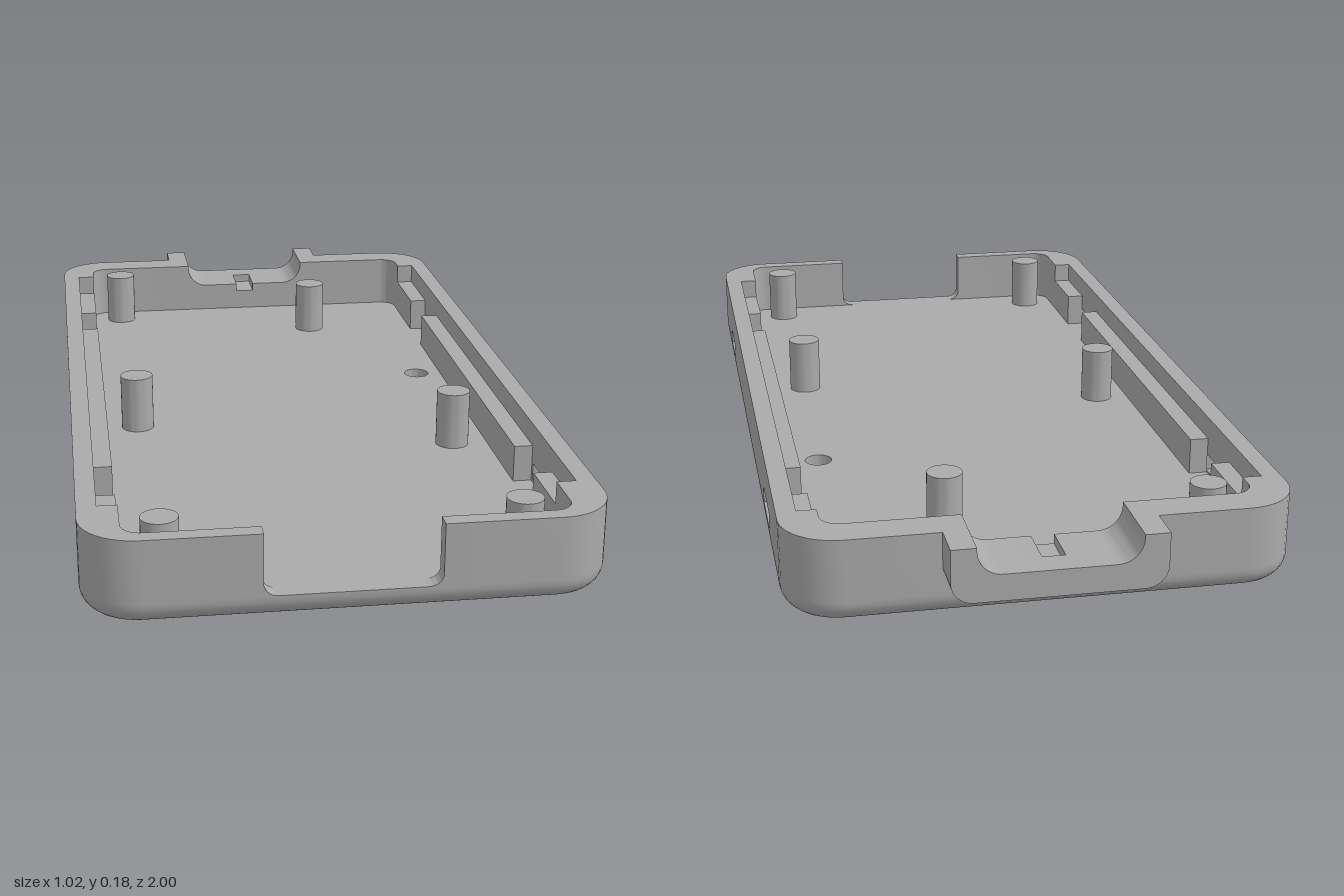
import * as THREE from 'three';
import { toCreasedNormals } from 'three/addons/utils/BufferGeometryUtils.js';

const TOP = 0.177, FLOOR = 0.05, FILLET = 0.045;
const HALF = 0.51, FRONT = 1, BACK = -0.92;

export function createModel() {
  const group = new THREE.Group();
  const grey = new THREE.MeshStandardMaterial({ color: 0xaaaaaa });
  grey.name = 'plain grey';

  const add = (name, geometry) => {
    const mesh = new THREE.Mesh(toCreasedNormals(geometry, 0.6), grey);
    mesh.name = name;
    group.add(mesh);
    return mesh;
  };

  // Outline from right-angled corners [x, y, radius]
  const outline = (corners) => {
    const pts = [];
    corners.forEach(([x, y, r = 0], i) => {
      const p = new THREE.Vector2(x, y);
      if (!r) return pts.push(p);
      const toward = (k) => {
        const c = corners[(i + k + corners.length) % corners.length];
        return new THREE.Vector2(c[0], c[1]).sub(p).normalize();
      };
      const a = toward(-1), b = toward(1);
      for (let k = 0; k <= 10; k++) {
        const t = (k / 10) * Math.PI / 2;
        pts.push(p.clone().addScaledVector(a, r * (1 - Math.sin(t))).addScaledVector(b, r * (1 - Math.cos(t))));
      }
    });
    return pts;
  };

  const extrude = (shape, depth) => new THREE.ExtrudeGeometry(shape, { depth, bevelEnabled: false, curveSegments: 24 });
  // Plan (x, z) raised from y0 to y1
  const plan = (shape, y0, y1) => extrude(shape, y1 - y0).rotateX(Math.PI / 2).translate(0, y1, 0);
  // Elevation (x, y) running from z0 to z1
  const elevation = (shape, z0, z1) => extrude(shape, z1 - z0).translate(0, 0, z0);
  const box = (name, x0, x1, y0, y1, z0, z1) =>
    add(name, new THREE.BoxGeometry(x1 - x0, y1 - y0, z1 - z0)
      .translate((x0 + x1) / 2, (y0 + y1) / 2, (z0 + z1) / 2));

  const bodyOutline = (inset) => {
    const x = HALF - inset, f = FRONT - inset, b = BACK + inset, r = 0.115 - inset;
    return outline([[x, f, r], [-x, f, r], [-x, b, r], [x, b, r]]);
  };

  // Floor plate with a small through hole
  const floorShape = new THREE.Shape(bodyOutline(FILLET));
  floorShape.holes.push(new THREE.Path().absarc(0.37, -0.21, 0.03, 0, Math.PI * 2, true));
  add('floor', plan(floorShape, 0, FLOOR));

  // Rounded lower edge around the floor
  const rings = [];
  for (let k = 0; k <= 8; k++) {
    const t = (k / 8) * Math.PI / 2;
    rings.push([FILLET * (1 - Math.sin(t)), FILLET * (1 - Math.cos(t))]);
  }
  rings.push([0, FLOOR], [FILLET, FLOOR]);
  const pos = [], index = [];
  let n = 0;
  rings.forEach(([inset, y]) => {
    const pts = bodyOutline(inset);
    n = pts.length;
    pts.forEach((p) => pos.push(p.x, y, p.y));
  });
  for (let i = 0; i < rings.length - 1; i++) {
    for (let j = 0; j < n; j++) {
      const a = i * n + j, b = i * n + (j + 1) % n;
      index.push(a, a + n, b, b, a + n, b + n);
    }
  }
  const skin = new THREE.BufferGeometry();
  skin.setAttribute('position', new THREE.Float32BufferAttribute(pos, 3));
  skin.setIndex(index);
  add('roundedBase', skin);

  for (const s of [1, -1]) {
    const side = s > 0 ? 'left' : 'right';

    // Corner walls, ending at the front opening and the rear spout
    add(side + 'FrontCorner', plan(new THREE.Shape(outline([
      [s * 0.17, 1], [s * HALF, 1, 0.115], [s * HALF, 0.83], [s * 0.43, 0.83], [s * 0.43, 0.965, 0.04], [s * 0.17, 0.965],
    ])), FLOOR, TOP));
    add(side + 'BackCorner', plan(new THREE.Shape(outline([
      [s * 0.21, BACK], [s * HALF, BACK, 0.115], [s * HALF, -0.77], [s * 0.43, -0.77], [s * 0.43, -0.845, 0.04], [s * 0.21, -0.845],
    ])), FLOOR, TOP));

    // Thin side wall with two slots, drawn as (-z, y)
    const wall = new THREE.Shape(outline([[-0.83, FLOOR], [0.77, FLOOR], [0.77, TOP], [-0.83, TOP]]));
    for (const [a, b] of [[-0.67, -0.53], [0.435, 0.58]]) {
      wall.holes.push(new THREE.Path(outline([[a, 0.055], [a, 0.092], [b, 0.092], [b, 0.055]])));
    }
    add(side + 'Wall', extrude(wall, 0.04).rotateY(Math.PI / 2).translate(s > 0 ? 0.47 : -HALF, 0, 0));

    // Inner ledge rails between the slots
    for (const [z0, z1] of [[-0.77, -0.58], [-0.44, 0.52], [0.67, 0.83]]) {
      box(side + 'Rail', Math.min(s * 0.43, s * 0.47), Math.max(s * 0.43, s * 0.47), FLOOR, 0.13, z0, z1);
    }

    // Rounded lower corner of the front opening
    const fillet = new THREE.Shape();
    fillet.moveTo(s * 0.172, FLOOR);
    fillet.lineTo(s * 0.172, FLOOR + 0.032);
    fillet.quadraticCurveTo(s * 0.17, FLOOR, s * 0.14, FLOOR);
    add(side + 'OpeningFillet', elevation(fillet, 0.965, 1));
  }

  // Rear spout: rounded underneath, with a channel and a key slot
  const spout = (slot) => new THREE.Shape(outline([
    [-0.21, TOP], [-0.21, 0.065, 0.045], [0.21, 0.065, 0.045], [0.21, TOP],
    [0.16, TOP], [0.16, 0.12, 0.05],
    ...(slot ? [[0.023, 0.12], [0.023, 0.1], [-0.023, 0.1], [-0.023, 0.12]] : []),
    [-0.16, 0.12, 0.05], [-0.16, TOP],
  ]));
  add('spoutOuter', elevation(spout(false), -1, -0.94));
  add('spoutInner', elevation(spout(true), -0.94, -0.845));
  box('backSill', -0.21, 0.21, FLOOR, 0.1, BACK, -0.845);
  for (const s of [1, -1]) {
    box('sillCorner', s > 0 ? 0.17 : -0.21, s > 0 ? 0.21 : -0.17, 0.09, 0.115, BACK, -0.845);
  }

  // Standing posts
  for (const [x, z] of [[-0.355, -0.78], [0.155, -0.63], [-0.355, 0.08], [0.35, 0.28], [-0.355, 0.895], [0.35, 0.895]]) {
    const h = TOP - FLOOR;
    add('post', new THREE.CylinderGeometry(0.037, 0.037, h, 32).translate(x, FLOOR + h / 2, z));
  }

  return group;
}
